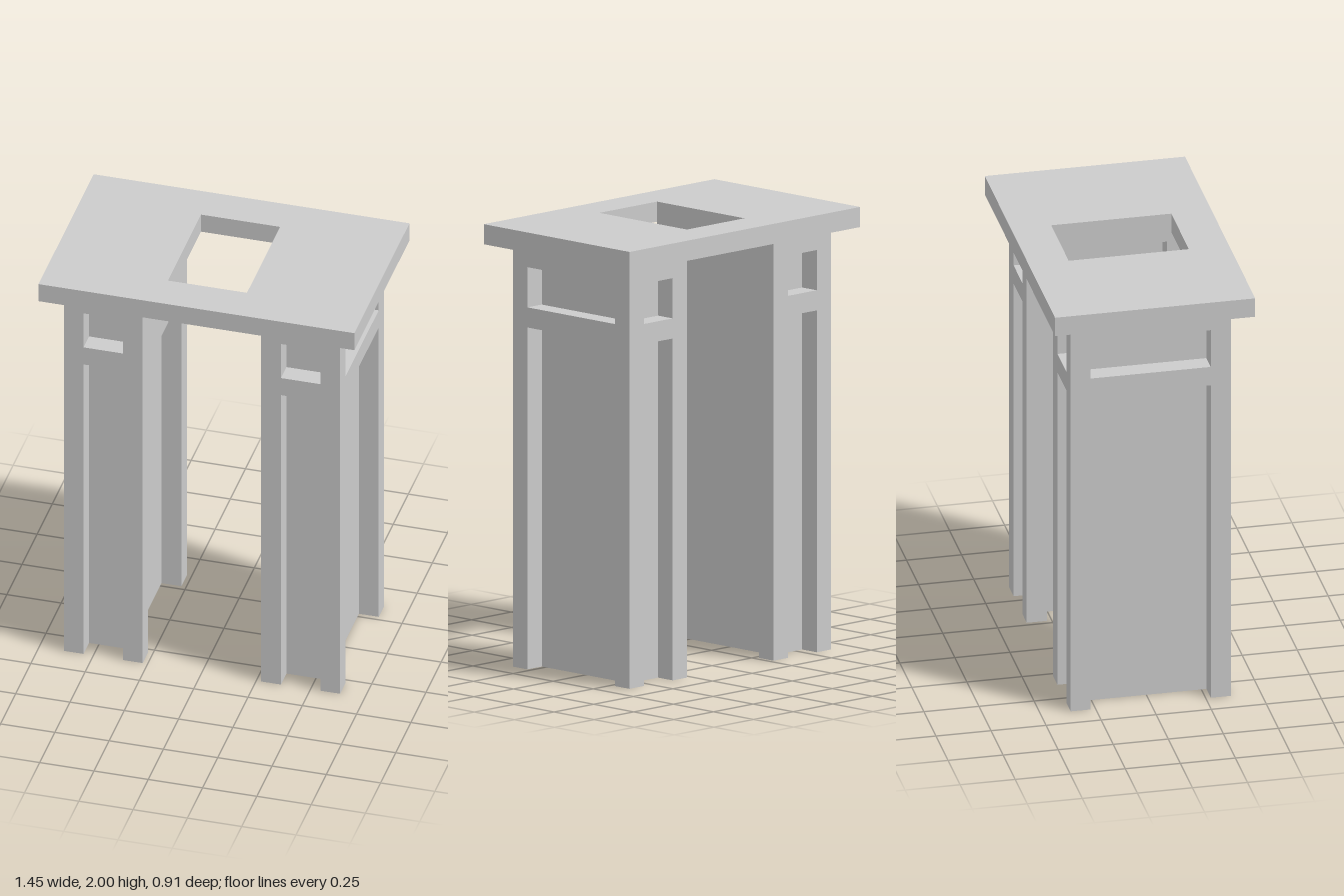
import * as THREE from 'three';

// Everything sits on a regular grid, 22 steps tall
const U = 1 / 11;
const material = new THREE.MeshStandardMaterial({ color: 0xcccccc, flatShading: true });

// Box given by its two opposite corners, in grid steps
function block(parent, name, [x0, y0, z0], [x1, y1, z1]) {
  const geometry = new THREE.BoxGeometry((x1 - x0) * U, (y1 - y0) * U, (z1 - z0) * U);
  const mesh = new THREE.Mesh(geometry, material);
  mesh.position.set((x0 + x1) * U / 2, (y0 + y1) * U / 2, (z0 + z1) * U / 2);
  mesh.name = name;
  parent.add(mesh);
}

// Pillar from x0 to x0 + 4: corner posts around a recessed core, with rails near the top
function pillar(name, x0, closedInside) {
  const group = new THREE.Group();
  group.name = name;
  const x1 = x0 + 4;
  block(group, 'core', [x0 + 1, 0, -3], [x1 - 1, 21, 3]);

  for (const x of [x0, x1 - 1])
    for (const z of [-4, 3]) block(group, 'cornerPost', [x, 0, z], [x + 1, 21, z + 1]);

  // Lower and upper rails leave a small panel recess between them
  const rails = [[17, 18], [20, 21]];
  for (const [y0, y1] of rails)
    for (const z of [-4, 3]) block(group, 'endRail', [x0 + 1, y0, z], [x1 - 1, y1, z + 1]);

  for (const [y0, y1] of rails) block(group, 'sideRail', [x0, y0, -3], [x0 + 1, y1, 3]);
  for (const [y0, y1] of closedInside ? [[17, 21]] : rails)
    block(group, 'sideRail', [x1 - 1, y0, -3], [x1, y1, 3]);
  return group;
}

// Overhanging roof slab with a rectangular opening
function roofSlab() {
  const shape = new THREE.Shape();
  shape.moveTo(-8 * U, -5 * U).lineTo(8 * U, -5 * U).lineTo(8 * U, 5 * U).lineTo(-8 * U, 5 * U).closePath();
  const hole = new THREE.Path();
  hole.moveTo(-2 * U, -3 * U).lineTo(-2 * U, 3 * U).lineTo(2 * U, 3 * U).lineTo(2 * U, -3 * U).closePath();
  shape.holes.push(hole);
  const geometry = new THREE.ExtrudeGeometry(shape, { depth: U, bevelEnabled: false });
  geometry.rotateX(-Math.PI / 2);
  const mesh = new THREE.Mesh(geometry, material);
  mesh.position.y = 21 * U;
  mesh.name = 'roofSlab';
  return mesh;
}

export function createModel() {
  const model = new THREE.Group();
  model.name = 'gateway';
  // The right pillar has a plain upper band on its inner side
  model.add(pillar('leftPillar', 3, false), pillar('rightPillar', -7, true), roofSlab());
  return model;
}
